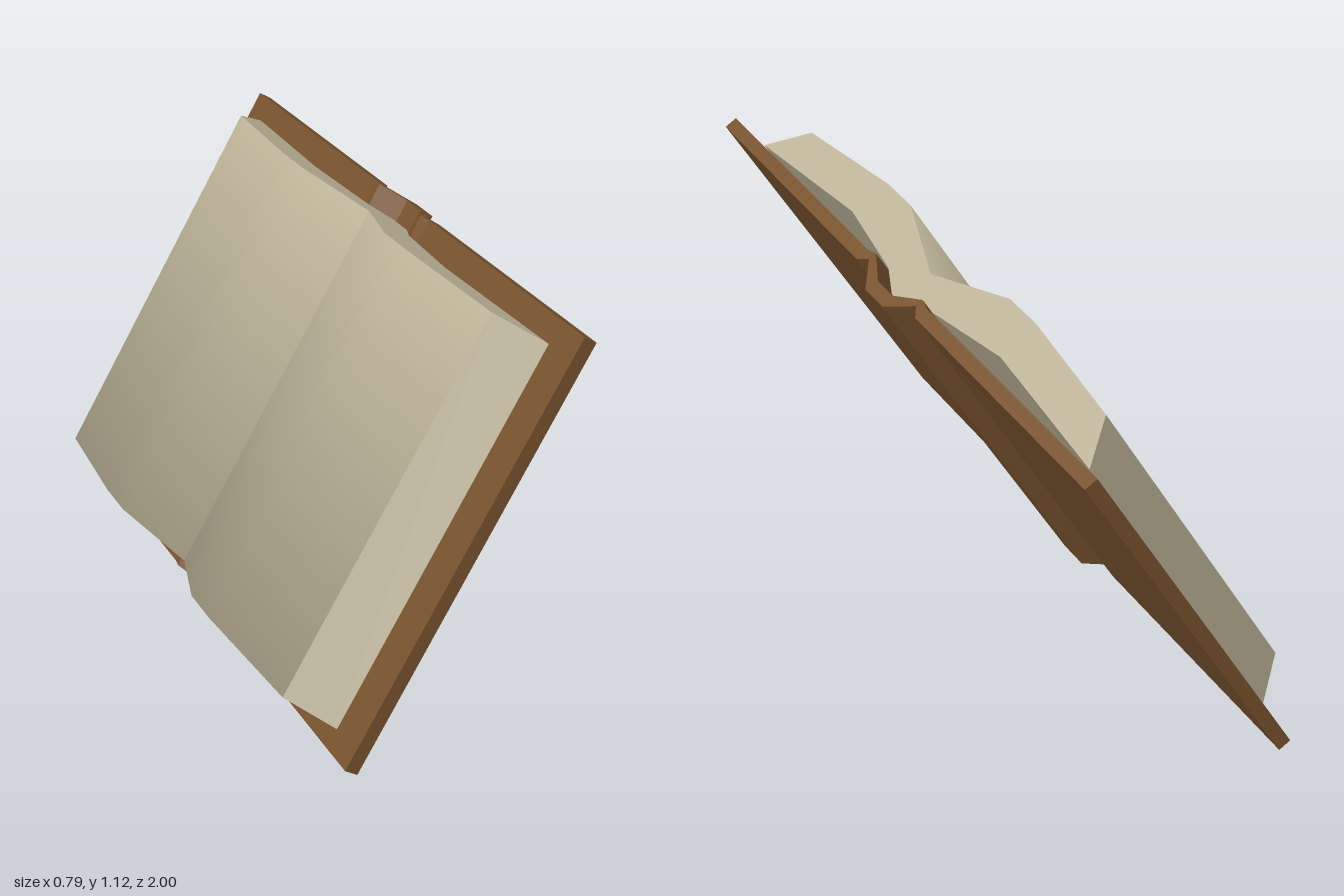
import * as THREE from 'three';

const leather = new THREE.MeshStandardMaterial({ color: 0x77522e });
leather.name = 'brown leather';
const paper = new THREE.MeshStandardMaterial({ color: 0xbcb297 });
paper.name = 'aged paper';

// Extrudes a mirrored cross-section; half-profiles run from the outer edge to the fold
function mirroredExtrusion(upper, lower, length) {
  const flip = (list) => list.filter(([a]) => a > 0).map(([a, b]) => [-a, b]).reverse();
  const top = [...upper, ...flip(upper)];
  const bottom = [...lower, ...flip(lower)].reverse();
  const shape = new THREE.Shape([...top, ...bottom].map(([a, b]) => new THREE.Vector2(a, b)));
  return new THREE.ExtrudeGeometry(shape, { depth: length, bevelEnabled: false });
}

// Gives the curved reading surface soft normals, rounded toward both ends
function softenPages(geometry, profile, length) {
  const pos = geometry.attributes.position;
  const nor = geometry.attributes.normal;
  const slopes = profile.map(([a], i) => {
    const grad = (p, q) => (p[1] - q[1]) / (p[0] - q[0]);
    const g = [];
    if (i > 0) g.push(grad(profile[i - 1], profile[i]));
    if (i < profile.length - 1) g.push(grad(profile[i], profile[i + 1]));
    return { a, slope: g.reduce((s, v) => s + v, 0) / g.length };
  });
  const v = new THREE.Vector3();
  for (let i = 0; i < pos.count; i += 3) {
    const mid = (pos.getX(i) + pos.getX(i + 1) + pos.getX(i + 2)) / 3;
    if (nor.getY(i) < 0.5 || Math.abs(mid) > 0.8) continue;
    for (let j = i; j < i + 3; j++) {
      const a = Math.abs(pos.getX(j));
      const { slope } = slopes.find((s) => Math.abs(s.a - a) < 1e-3);
      v.set(-slope * Math.sign(mid), 1, pos.getZ(j) > length / 2 ? 1 : -1).normalize();
      nor.setXYZ(j, v.x, v.y, v.z);
    }
  }
}

export function createModel() {
  const model = new THREE.Group();
  model.name = 'openBook';

  // Local axes: x across the spread, y out of the pages, z along the spine
  const book = new THREE.Group();
  book.name = 'tiltedBook';
  const c = Math.cos(Math.PI / 3), s = Math.sin(Math.PI / 3);
  const basis = new THREE.Matrix4().makeBasis(
    new THREE.Vector3(0, 0, -1), new THREE.Vector3(-s, c, 0), new THREE.Vector3(c, s, 0));
  book.quaternion.setFromRotationMatrix(basis);
  book.position.set(-0.213, 0, 0);
  model.add(book);

  // Cover boards with hinge grooves and a raised spine
  const cover = new THREE.Mesh(mirroredExtrusion(
    [[1, 0.077], [0.165, 0.077], [0.13, 0.085], [0.04, 0.038]],
    [[1, 0.039], [0.165, 0.039], [0.132, 0.062], [0.048, 0]], 1.213), leather);
  cover.name = 'cover';
  book.add(cover);

  // Arched page blocks meeting at the central fold
  const reading = [[0.8, 0.205], [0.4, 0.248], [0.27, 0.248], [0, 0.154]];
  const pageLength = 1.09;
  const pageGeometry = mirroredExtrusion(
    [[0.9, 0.086], ...reading],
    [[0.41, 0.127], [0.13, 0.088], [0.04, 0.046]], pageLength);
  softenPages(pageGeometry, reading, pageLength);
  const pages = new THREE.Mesh(pageGeometry, paper);
  pages.name = 'pages';
  pages.position.z = 0.06;
  book.add(pages);

  return model;
}
